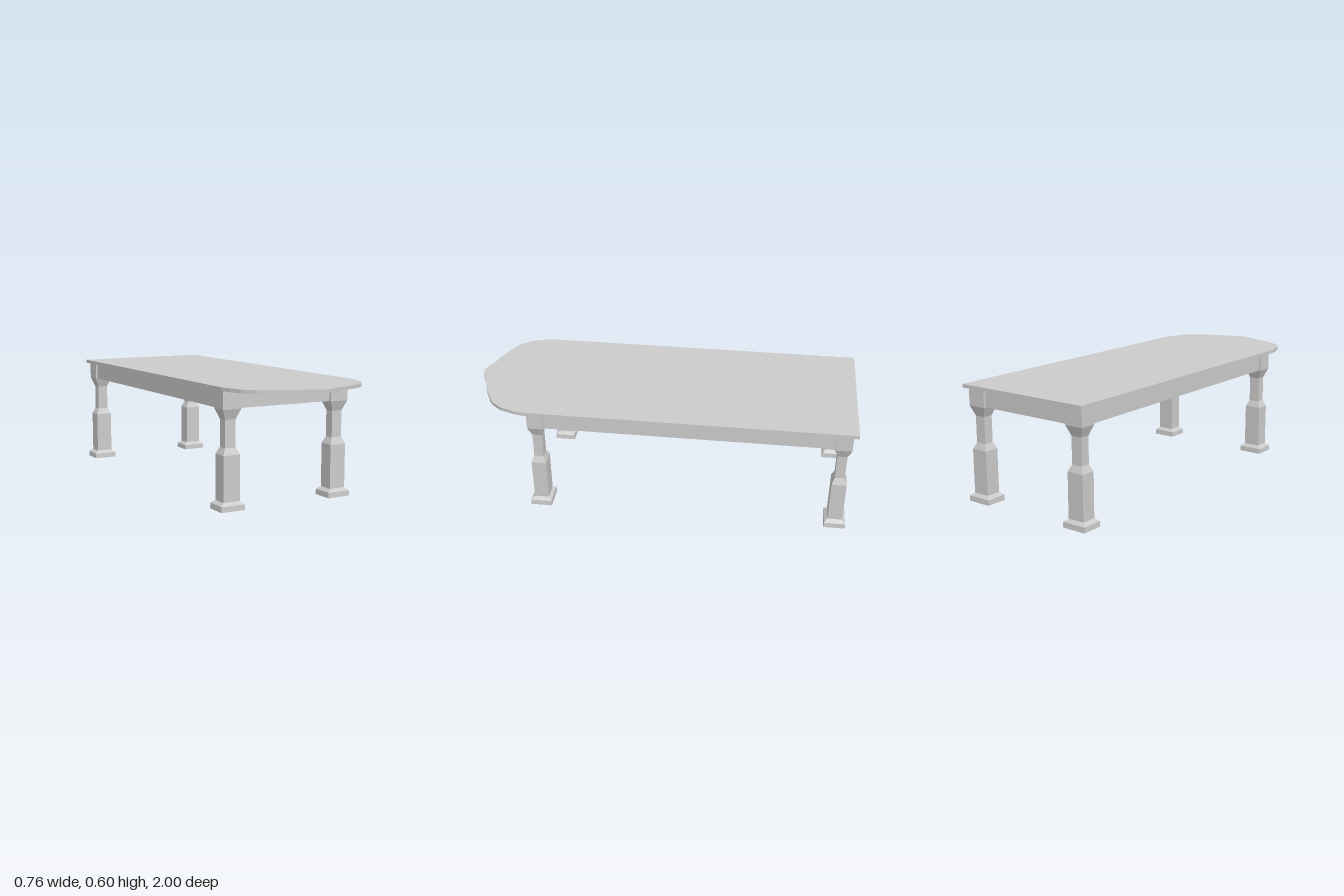
import * as THREE from 'three';

export function createModel() {
  const group = new THREE.Group();
  group.name = 'table';
  const material = new THREE.MeshStandardMaterial({ color: 0xcccccc, flatShading: true });

  const add = (name, geometry, x, y, z) => {
    const mesh = new THREE.Mesh(geometry, material);
    mesh.name = name;
    mesh.position.set(x, y, z);
    group.add(mesh);
    return mesh;
  };
  const box = (name, w, h, d, x, y, z) => add(name, new THREE.BoxGeometry(w, h, d), x, y, z);

  const topY = 0.6, thick = 0.018, halfW = 0.378, seamZ = 0.7;
  const railH = 0.09, railY = topY - thick - railH / 2;
  const legX = 0.31, frontZ = 0.64, backZ = -0.933;

  // Main board
  box('tableTop', halfW * 2, thick, seamZ + 1, 0, topY - thick / 2, (seamZ - 1) / 2);

  // Rounded end leaf, drawn in x and z and extruded downward
  const side = [[0.378, 0.7], [0.367, 0.75], [0.342, 0.82], [0.3, 0.873], [0.27, 0.892],
    [0.2, 0.927], [0.16, 0.943], [0.1, 0.962], [0.06, 0.98], [0.025, 0.996]];
  const outline = [...side, [0, 1], ...side.map(([x, z]) => [-x, z]).reverse()];
  const leaf = new THREE.ExtrudeGeometry(
    new THREE.Shape(outline.map(([x, z]) => new THREE.Vector2(x, z))),
    { depth: thick, bevelEnabled: false });
  leaf.rotateX(Math.PI / 2);
  add('endLeaf', leaf, 0, topY, 0);

  // Square legs: [width, height] pairs turned with four sides
  const profile = [[0, 0], [0.131, 0], [0.128, 0.028], [0.09, 0.043], [0.09, 0.27],
    [0.058, 0.304], [0.058, 0.44], [0.1, 0.491], [0.1, topY - thick], [0, topY - thick]];
  const leg = new THREE.LatheGeometry(
    profile.map(([w, y]) => new THREE.Vector2(w / Math.SQRT2, y)), 4, Math.PI / 4);
  leg.scale(1, 1, 0.86);
  for (const s of [1, -1]) {
    const label = s > 0 ? 'Left' : 'Right';
    add(`front${label}Leg`, leg, s * legX, 0, frontZ);
    add(`back${label}Leg`, leg, s * legX, 0, backZ);
    // Long rails between front and back legs
    box(`side${label}Rail`, 0.07, railH, frontZ - backZ - 0.08, s * 0.315, railY, (frontZ + backZ) / 2);
  }

  // Short rails across the ends
  box('frontRail', legX * 2 - 0.09, railH, 0.06, 0, railY, frontZ);
  box('backRail', legX * 2 - 0.09, railH, 0.06, 0, railY, backZ);

  return group;
}
